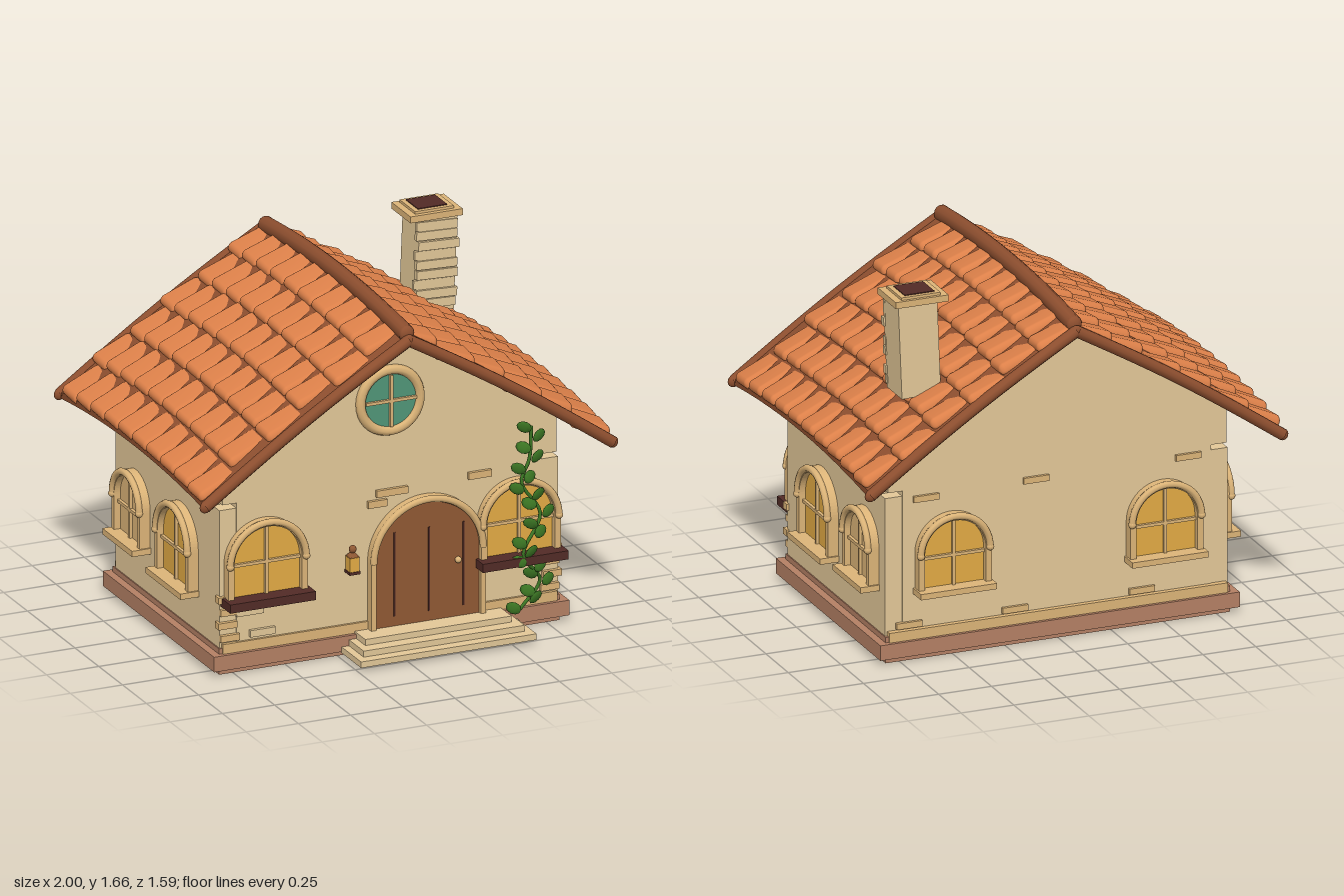
import * as THREE from 'three';
import { mergeGeometries, mergeVertices } from 'three/addons/utils/BufferGeometryUtils.js';
import { RoundedBoxGeometry } from 'three/addons/geometries/RoundedBoxGeometry.js';

const paint = (name, color) => Object.assign(new THREE.MeshStandardMaterial({ color }), { name });
const V = (x, y, z) => new THREE.Vector3(x, y, z);

// Roof surface height: s runs 0 (ridge) to 1 (eave); the roof arches along z
const HALF = 0.975;
const roofY = (s, z) => 1.545 - 0.625 * s + 0.02 * Math.sin(Math.PI * s) - 0.045 * (z / 0.75) ** 2;

// Round-headed opening, bottom at y = 0
function archShape(r, height, Type = THREE.Shape) {
  const p = new Type();
  p.moveTo(-r, 0);
  p.lineTo(r, 0);
  p.lineTo(r, height - r);
  p.absarc(0, height - r, r, 0, Math.PI, false);
  p.lineTo(-r, 0);
  return p;
}

export function createModel() {
  const wall = paint('plaster', 0xe3c898), trim = paint('tan stone', 0xdcb478);
  const tile = paint('terracotta', 0xdc8049), wood = paint('roof timber', 0x8e4f2f);
  const plinth = paint('plinth brick', 0xb48064), amber = paint('amber glass', 0xe2aa44);
  const teal = paint('teal glass', 0x509678), leaf = paint('leaf green', 0x3b7523);
  const dark = paint('dark brown', 0x522b26), doorWood = paint('door wood', 0x905934);
  teal.side = amber.side = leaf.side = THREE.DoubleSide;

  const model = new THREE.Group();
  const add = (name, geo, mat, x = 0, y = 0, z = 0, parent = model) => {
    const m = new THREE.Mesh(geo, mat);
    m.name = name;
    m.position.set(x, y, z);
    parent.add(m);
    return m;
  };
  // Box given by its minimum and maximum corners
  const box = (name, mat, x0, x1, y0, y1, z0, z1, parent = model) =>
    add(name, new THREE.BoxGeometry(x1 - x0, y1 - y0, z1 - z0), mat,
      (x0 + x1) / 2, (y0 + y1) / 2, (z0 + z1) / 2, parent);
  const extrude = (shape, depth) =>
    new THREE.ExtrudeGeometry(shape, { depth, bevelEnabled: false, curveSegments: 20 });
  const tube = (name, mat, pts, r) => {
    add(name, new THREE.TubeGeometry(new THREE.CatmullRomCurve3(pts), 40, r, 10), mat);
    for (const p of [pts[0], pts[pts.length - 1]])
      add(name + 'End', new THREE.SphereGeometry(r, 10, 8), mat, p.x, p.y, p.z).scale.z = 0.6;
  };

  // Plinth and walls
  box('plinth', plinth, -0.815, 0.815, 0, 0.12, -0.56, 0.56);
  box('plinthSkirt', plinth, -0.85, 0.85, 0.025, 0.095, -0.585, 0.585);
  box('plinthBand', trim, -0.8, 0.8, 0.095, 0.14, -0.57, 0.568);
  box('walls', wall, -0.81, 0.81, 0.12, 0.76, -0.542, 0.552);
  box('sideWallTop', wall, -0.8, 0.8, 0.76, 0.83, -0.48, 0.48);
  box('endWallTop', wall, -0.73, 0.73, 0.13, 0.79, -0.546, 0.556);

  // Gables
  const gable = new THREE.Shape();
  gable.moveTo(-0.8, 0.787);
  gable.lineTo(0.8, 0.787);
  for (let i = -8; i <= 8; i++) {
    const x = -i * 0.1;
    gable.lineTo(x, roofY(Math.abs(x) / HALF, 0.55) - 0.015);
  }
  add('frontGable', extrude(gable, 0.03), wall, 0, 0, 0.531);
  add('backGable', extrude(gable, 0.03), wall, 0, 0, -0.551);

  // Roof deck: a box bent onto the roof surface
  const deck = new THREE.BoxGeometry(2, 0.03, 1.5, 24, 1, 12);
  const dp = deck.attributes.position;
  for (let i = 0; i < dp.count; i++) {
    const x = dp.getX(i), z = dp.getZ(i);
    dp.setXYZ(i, x * HALF, roofY(Math.abs(x), z) + dp.getY(i), z);
  }
  deck.computeVertexNormals();
  add('roofDeck', deck, wood);

  // Roof tiles: puffy pillows with raised lower ends, laid in staggered rows
  const pitch = 0.146;
  let pillow = new RoundedBoxGeometry(0.205, 0.05, pitch, 3, 0.024);
  const tp = pillow.attributes.position;
  for (let i = 0; i < tp.count; i++)
    tp.setY(i, tp.getY(i) + 0.02 * (1 - (2 * tp.getZ(i) / pitch) ** 2) - 0.008 * (tp.getX(i) / 0.1) ** 2);
  pillow.deleteAttribute('normal');
  pillow.deleteAttribute('uv');
  pillow.clearGroups();
  pillow = mergeVertices(pillow, 1e-4);
  pillow.computeVertexNormals();
  const dummy = new THREE.Object3D();
  dummy.rotation.order = 'ZXY';
  for (const side of [1, -1]) {
    const tiles = [];
    for (let row = 0; row < 6; row++) {
      const s = (row + 0.48) / 6, shift = row % 2 ? 0.005 : -0.035;
      for (let k = 0; k < 10; k++) {
        const z = (k - 4.5) * pitch + shift;
        const slope = Math.atan2(roofY(s - 0.05, z) - roofY(s + 0.05, z), 0.1 * HALF);
        dummy.position.set(side * s * HALF, roofY(s, z) - 0.002, z);
        dummy.rotation.set(0.1, 0, side * (0.18 - slope));
        dummy.updateMatrix();
        tiles.push(pillow.clone().applyMatrix4(dummy.matrix));
      }
    }
    add(side > 0 ? 'leftRoofTiles' : 'rightRoofTiles', mergeGeometries(tiles), tile);
  }

  // Ridge roll and rolled gable edges
  const steps = [0, 1, 2, 3, 4, 5, 6, 7, 8];
  tube('ridge', wood, steps.map(i => {
    const z = -0.74 + i * 0.185;
    return V(0, 1.563 - 0.04 * (z / 0.75) ** 2, z);
  }), 0.037);
  for (const z of [-0.768, 0.765])
    for (const side of [-1, 1])
      tube('gableEdge', wood, steps.map(i => V(side * i / 8 * HALF, roofY(i / 8, 0.75), z)), 0.027);

  // Chimney, leaning slightly, with brick courses on its front
  const chimney = new THREE.Group();
  chimney.name = 'chimney';
  chimney.position.set(0.603, 1.18, -0.375);
  chimney.rotation.z = -0.04;
  model.add(chimney);
  box('stack', wall, -0.092, 0.092, 0, 0.43, -0.085, 0.085, chimney);
  for (let i = 0; i < 9; i++) {
    const j = 0.006 * Math.sin(i * 2.3);
    box('brickCourse', wall, -0.1 + j, 0.095 + j, 0.02 + i * 0.045, 0.06 + i * 0.045, 0.07, 0.093 + j, chimney);
  }
  box('chimneyCap', trim, 0.483, 0.733, 1.61, 1.64, -0.48, -0.278);
  box('chimneyRim', trim, 0.515, 0.7, 1.64, 1.652, -0.465, -0.3);
  box('flue', dark, 0.537, 0.677, 1.648, 1.656, -0.447, -0.32);

  // Arched window facing +z with its bottom at y = 0
  function archWindow(name, r, height, glass, x, y, z, turn, sill = true) {
    const g = new THREE.Group();
    g.name = name;
    g.position.set(x, y, z);
    g.rotation.y = turn;
    model.add(g);
    const frame = archShape(r, height);
    frame.holes.push(archShape(r - 0.028, height - 0.028, THREE.Path));
    add('frame', extrude(frame, 0.05), trim, 0, 0, 0, g);
    add('glass', new THREE.ShapeGeometry(archShape(r - 0.026, height - 0.026), 20), glass, 0, 0, 0.02, g);
    box('mullion', trim, -0.007, 0.007, 0, height - 0.02, 0.012, 0.034, g);
    box('crossBar', trim, -r + 0.02, r - 0.02, height * 0.42, height * 0.42 + 0.014, 0.012, 0.034, g);
    add('hood', new THREE.TorusGeometry(r - 0.008, 0.016, 8, 24, Math.PI), trim, 0, height - r, 0.05, g);
    for (const s of [-1, 1])
      add('hoodEnd', new THREE.SphereGeometry(0.018, 10, 8), trim, s * (r - 0.008), height - r, 0.05, g);
    if (sill) box('sill', trim, -r - 0.008, r + 0.008, -0.015, 0.012, 0, 0.09, g);
  }
  for (const x of [-0.6, 0.61]) {
    archWindow('frontWindow', 0.19, 0.35, amber, x, 0.35, 0.555, 0, false);
    box('windowBox', dark, x - 0.205, x + 0.205, 0.315, 0.355, 0.55, 0.655);
  }
  for (const s of [-1, 1]) {
    archWindow('largeSideWindow', 0.175, 0.365, amber, s * 0.81, 0.3, 0.155, s * Math.PI / 2);
    archWindow('smallSideWindow', 0.149, 0.325, trim, s * 0.81, 0.325, -0.325, s * Math.PI / 2);
    archWindow('backWindow', 0.172, 0.345, amber, s * 0.5, 0.315, -0.548, Math.PI);
  }

  // Round attic window
  add('roundGlass', new THREE.CircleGeometry(0.125, 32), teal, 0, 1.155, 0.572);
  add('roundFrame', new THREE.TorusGeometry(0.142, 0.023, 8, 36), trim, 0, 1.155, 0.567);
  box('roundMullion', trim, -0.007, 0.007, 1.035, 1.275, 0.565, 0.585);
  box('roundCrossBar', trim, -0.12, 0.12, 1.148, 1.162, 0.565, 0.585);

  // Door and steps
  const surround = archShape(0.275, 0.59);
  surround.holes.push(archShape(0.25, 0.565, THREE.Path));
  add('doorFrame', extrude(surround, 0.04), trim, 0.17, 0.1, 0.56);
  add('doorHood', new THREE.TorusGeometry(0.262, 0.016, 8, 28, Math.PI), trim, 0.17, 0.415, 0.598);
  add('door', extrude(archShape(0.252, 0.567), 0.02), doorWood, 0.17, 0.1, 0.56);
  for (const x of [0.015, 0.18, 0.345]) box('doorGroove', dark, x - 0.004, x + 0.004, 0.15, 0.54, 0.578, 0.583);
  add('doorKnob', new THREE.SphereGeometry(0.015, 12, 8), trim, 0.315, 0.37, 0.592);
  [[0.42, 0.79], [0.385, 0.74], [0.35, 0.68]].forEach(([w, z], i) =>
    box('step', wall, 0.18 - w, 0.18 + w, 0.02 + i * 0.028, 0.048 + i * 0.028, 0.56, z));

  // Wall lantern
  box('lanternBase', dark, -0.215, -0.163, 0.385, 0.398, 0.56, 0.615);
  box('lanternGlass', amber, -0.212, -0.166, 0.398, 0.465, 0.566, 0.612);
  add('lanternCap', new THREE.ConeGeometry(0.034, 0.03, 4, 1, false, Math.PI / 4), doorWood, -0.189, 0.478, 0.589);
  add('lanternKnob', new THREE.SphereGeometry(0.018, 8, 6), doorWood, -0.189, 0.497, 0.589);

  // Loose stones in the walls: x, y, width
  for (const [x, y, w] of [[0.01, 0.725, 0.15], [-0.06, 0.68, 0.09], [0.43, 0.74, 0.11], [-0.61, 0.17, 0.12], [-0.67, 0.275, 0.13]])
    box('frontStone', y > 0.5 ? trim : wall, x - w / 2, x + w / 2, y - 0.016, y + 0.016, 0.55, 0.572);
  for (const [x, y] of [[0.62, 0.74], [0.1, 0.75], [0.2, 0.16], [-0.4, 0.16], [-0.62, 0.75], [0.7, 0.16]])
    box('backStone', trim, x - 0.06, x + 0.06, y - 0.014, y + 0.014, -0.56, -0.54);
  for (const s of [-1, 1])
    for (let i = 0; i < 4; i++) {
      const x = s * (0.765 + 0.012 * (i % 2));
      box('cornerStone', trim, x - 0.045, x + 0.045, 0.15 + i * 0.06, 0.18 + i * 0.06, 0.53, 0.57);
    }

  // Climbing vine with alternating leaves
  const vinePath = [V(0.61, 0.1, 0.6), V(0.7, 0.22, 0.605), V(0.6, 0.37, 0.65), V(0.69, 0.54, 0.63),
    V(0.6, 0.7, 0.63), V(0.64, 0.8, 0.625), V(0.645, 0.95, 0.635)];
  const vine = new THREE.CatmullRomCurve3(vinePath);
  tube('vineStem', leaf, vinePath, 0.008);
  const leafGeo = new THREE.SphereGeometry(0.034, 7, 5);
  for (let i = 0; i <= 20; i++) {
    const p = vine.getPointAt(i / 20), s = i % 2 ? 1 : -1;
    const m = add('vineLeaf', leafGeo, leaf, p.x + s * 0.036, p.y + 0.008, p.z + 0.006);
    m.scale.set(1.1, 0.8, 0.25);
    m.rotation.set(0.3 * Math.sin(i * 2), s * 0.3, s * 0.5);
  }
  return model;
}
